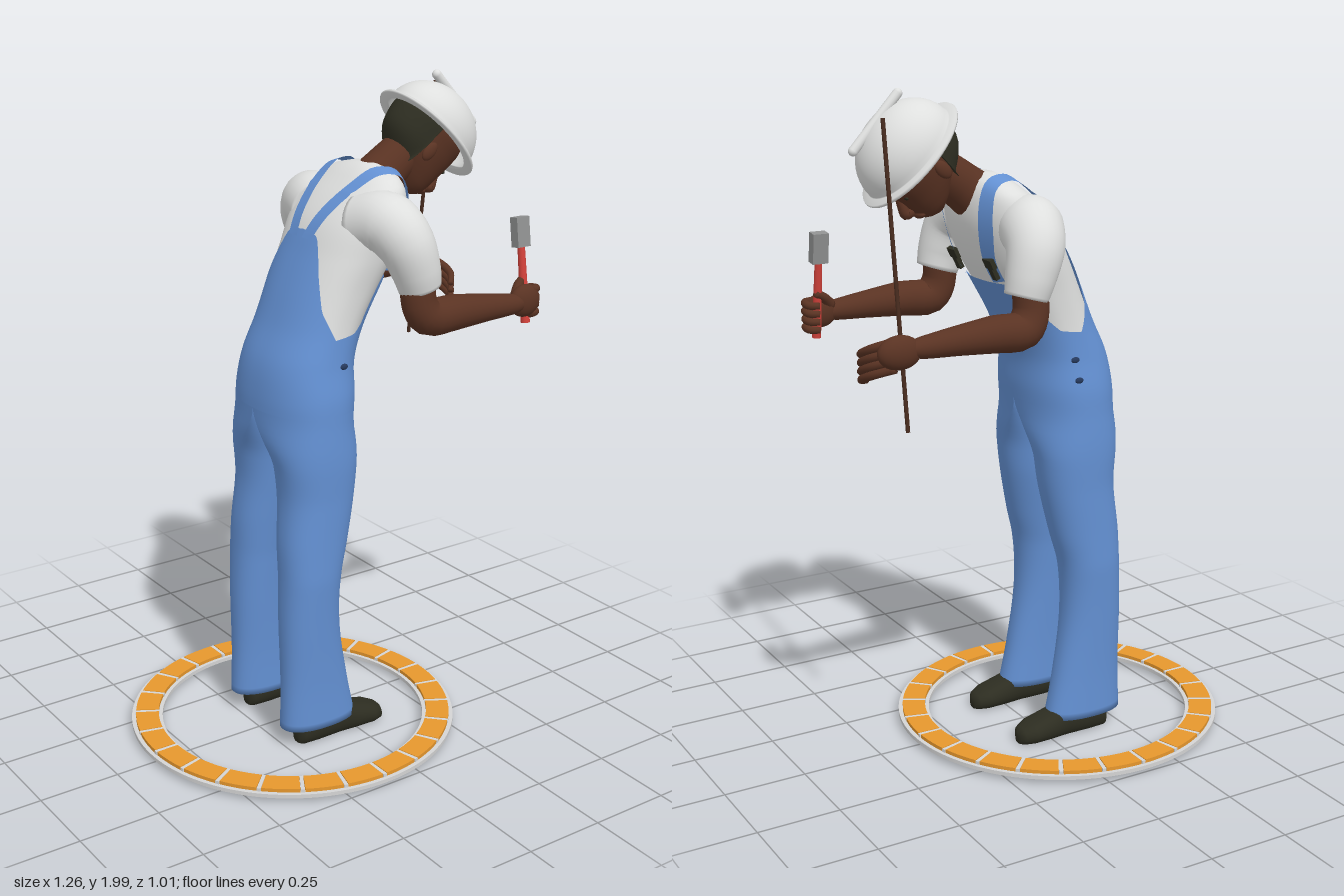
import * as THREE from 'three';

const V = (x, y, z) => new THREE.Vector3(x, y, z);
const lerp = THREE.MathUtils.lerp;

// Skin a list of equal-length rings, with optional end caps
function loft(rings, capStart = true, capEnd = true) {
  const n = rings[0].length, pos = [], idx = [];
  rings.forEach(r => r.forEach(p => pos.push(p.x, p.y, p.z)));
  for (let i = 0; i < rings.length - 1; i++) for (let j = 0; j < n; j++) {
    const a = i * n + j, b = i * n + (j + 1) % n;
    idx.push(a, a + n, b, b, a + n, b + n);
  }
  const cap = (row, flip) => {
    const c = rings[row].reduce((s, p) => s.add(p), V(0, 0, 0)).divideScalar(n);
    const k = pos.length / 3;
    pos.push(c.x, c.y, c.z);
    for (let j = 0; j < n; j++) {
      const a = row * n + j, b = row * n + (j + 1) % n;
      flip ? idx.push(k, b, a) : idx.push(k, a, b);
    }
  };
  if (capStart) cap(0, false);
  if (capEnd) cap(rings.length - 1, true);
  const g = new THREE.BufferGeometry();
  g.setAttribute('position', new THREE.Float32BufferAttribute(pos, 3));
  g.setIndex(idx);
  g.computeVertexNormals();
  return g;
}

// Rows [y, back x, front x, half width] -> smooth surface function (angle, y, offset, z centre)
function section(rows, power = 0.88) {
  const f = new THREE.CubicInterpolant(rows.map(r => r[0]), rows.flatMap(r => r.slice(1)), 3, new Float32Array(3));
  const e = v => Math.sign(v) * Math.abs(v) ** power;
  return (t, y, off = 0, zc = 0) => {
    const [b, fr, h] = f.evaluate(y);
    return V((b + fr) / 2 + ((fr - b) / 2 + off) * e(Math.cos(t)), y, zc + (h + off) * e(Math.sin(t)));
  };
}
const circle = (n, fn) => Array.from({ length: n }, (_, j) => fn(j / n * Math.PI * 2));
const steps = (n, fn) => Array.from({ length: n + 1 }, (_, i) => fn(i / n));

// Piecewise linear lookup in [key, value] pairs
function lookup(table, t) {
  const k = Math.max(1, table.findIndex(e => e[0] >= t - 1e-6));
  return THREE.MathUtils.mapLinear(t, table[k - 1][0], table[k][0], table[k - 1][1], table[k][1]);
}

// Tapered round limb through points [x, y, z, radius]
function limb(pts, ref, sides = 20, n = 24) {
  const curve = new THREE.CatmullRomCurve3(pts.map(p => V(p[0], p[1], p[2])));
  return loft(steps(n, t => {
    const c = curve.getPoint(t), T = curve.getTangent(t);
    const k = Math.min(Math.floor(t * (pts.length - 1)), pts.length - 2);
    const r = lerp(pts[k][3], pts[k + 1][3], t * (pts.length - 1) - k);
    const U = ref.clone().addScaledVector(T, -ref.dot(T)).normalize(), W = U.clone().cross(T);
    return circle(sides, a => c.clone().addScaledVector(U, r * Math.cos(a)).addScaledVector(W, r * Math.sin(a)));
  }));
}

// Flat ring sector lying in the ground plane
function sector(r0, r1, a0, a1, h) {
  const s = new THREE.Shape();
  s.absarc(0, 0, r1, a0, a1, false);
  s.absarc(0, 0, r0, a1, a0, true);
  return new THREE.ExtrudeGeometry(s, { depth: h, bevelEnabled: false, curveSegments: 8 }).rotateX(-Math.PI / 2);
}

export function createModel() {
  const root = new THREE.Group();
  const mat = (name, color, double) => {
    const m = new THREE.MeshStandardMaterial({ color, side: double ? THREE.DoubleSide : THREE.FrontSide });
    m.name = name;
    return m;
  };
  const blue = mat('denim blue', 0x6390d2, true), white = mat('white', 0xdedfde, true);
  const skin = mat('brown skin', 0x5a3323), dark = mat('dark olive', 0x2d2d21), navy = mat('navy', 0x26395c);
  const orange = mat('orange', 0xe6972d), pale = mat('pale grey', 0xd4d4d4), steel = mat('steel grey', 0x909191);
  const red = mat('red', 0xd2413a), wood = mat('dark wood', 0x472b1e);
  const add = (name, geo, m, parent = root) => {
    const mesh = new THREE.Mesh(geo, m);
    mesh.name = name;
    parent.add(mesh);
    return mesh;
  };
  const ball = (name, m, p, s, parent = root) => {
    const b = add(name, new THREE.SphereGeometry(1, 20, 14), m, parent);
    b.position.set(...p);
    b.scale.set(...s);
  };
  const X = V(1, 0, 0), Y = V(0, 1, 0), Z = V(0, 0, 1);

  // Ground ring: thin base, tiles and dividers
  const ground = new THREE.Group();
  ground.name = 'tiledRing';
  ground.position.x = -0.125;
  root.add(ground);
  const tiles = 24, step = Math.PI * 2 / tiles;
  for (let i = 0; i < tiles; i++) {
    const a = i * step;
    add('ringBase', sector(0.41, 0.506, a, a + step, 0.012), pale, ground).position.y = 0.013;
    add('ringTile', sector(0.422, 0.493, a + 0.015, a + step - 0.015, 0.011), orange, ground).position.y = 0.025;
    add('ringDivider', sector(0.42, 0.495, a - 0.012, a + 0.012, 0.01), pale, ground).position.y = 0.025;
  }

  // Leaning torso: shirt and overalls share one body surface
  const body = section([
    [1.0, -0.25, 0.02, 0.207], [1.1, -0.248, 0.03, 0.203], [1.2, -0.23, 0.035, 0.186],
    [1.3, -0.185, 0.07, 0.178], [1.4, -0.145, 0.125, 0.182], [1.5, -0.10, 0.18, 0.195], [1.6, -0.05, 0.212, 0.203],
    [1.66, 0.003, 0.213, 0.192], [1.7, 0.05, 0.203, 0.165], [1.728, 0.085, 0.185, 0.11], [1.742, 0.11, 0.16, 0.05]]);
  const shirtParts = [add('shirt', loft(steps(36, t => circle(56, a => body(a, lerp(1.18, 1.742, t))))), white)];
  for (const s of [1, -1]) {
    shirtParts.push(add('sleeve', limb([[0.055, 1.585, s * 0.1, 0.09], [0.085, 1.598, s * 0.19, 0.093],
      [0.105, 1.555, s * 0.245, 0.084], [0.13, 1.48, s * 0.264, 0.073], [0.147, 1.42, s * 0.266, 0.063]], X, 28), white));
  }

  // Overalls above the hip, with a curved top edge
  const edge = [[0, 1.43], [0.75, 1.43], [0.95, 1.36], [1.3, 1.29], [1.7, 1.28], [2.2, 1.36], [2.55, 1.46], [2.85, 1.56], [3.15, 1.57]];
  const hip = 1.06, ease = 0.007;
  const topOf = a => lookup(edge, a > Math.PI ? Math.PI * 2 - a : a);
  add('overallsBody', loft(steps(28, t => circle(96, a => body(a, lerp(hip, topOf(a), t), ease))), false, false), blue);

  // Find a point on the shirt, seen from the side around the chest centre
  const ray = new THREE.Raycaster();
  const onShirt = (deg, z, off) => {
    const a = THREE.MathUtils.degToRad(deg), d = V(Math.cos(a), Math.sin(a), 0), c = V(0.06, 1.5, z);
    ray.set(c.clone().addScaledVector(d, 1), d.clone().negate());
    return ray.intersectObjects(shirtParts)[0].point.clone().addScaledVector(d, off);
  };
  const strapZ = new THREE.CatmullRomCurve3([V(-38, 0.105, 0), V(5, 0.108, 0), V(55, 0.13, 0), V(85, 0.1, 0), V(120, 0.066, 0), V(162, 0.034, 0)]);

  const leg = section([
    [0.06, -0.255, 0.0, 0.067], [0.2, -0.25, -0.03, 0.067], [0.4, -0.25, -0.06, 0.075], [0.55, -0.245, -0.055, 0.084],
    [0.65, -0.243, -0.03, 0.09], [0.8, -0.23, 0.0, 0.101], [0.9, -0.238, 0.012, 0.108], [0.98, -0.25, 0.022, 0.112],
    [1.08, -0.25, 0.03, 0.11]]);
  const legZ = [[0.06, 0.143], [0.55, 0.137], [0.8, 0.116], [1.08, 0.105]];
  // Each leg blends into its half of the hip
  const legPoint = (a, y, s) => {
    const p = leg(a, y, 0, lookup(legZ, y)), h = body(a, y, ease);
    p.lerp(V(h.x, y, Math.max(0, h.z)), THREE.MathUtils.smoothstep(y, 0.88, hip));
    p.z = s * Math.max(0, p.z);
    return p;
  };
  const shoe = [[-0.205, 0.04, 0.02], [-0.195, 0.075, 0.04], [-0.14, 0.1, 0.047], [-0.06, 0.1, 0.045],
    [0.0, 0.078, 0.052], [0.06, 0.06, 0.053], [0.092, 0.046, 0.038], [0.103, 0.035, 0.018]];

  for (const s of [1, -1]) {
    // Shoulder strap, buckle and side buttons
    const rows = steps(44, t => {
      const p = strapZ.getPoint(t);
      return [-0.022, 0.022].map(w => onShirt(p.x, s * p.y + w, 0.012));
    });
    const g = new THREE.BufferGeometry(), idx = [];
    g.setAttribute('position', new THREE.Float32BufferAttribute(rows.flat().flatMap(p => p.toArray()), 3));
    for (let i = 0; i < rows.length - 1; i++) idx.push(2 * i, 2 * i + 2, 2 * i + 1, 2 * i + 1, 2 * i + 2, 2 * i + 3);
    g.setIndex(idx);
    g.computeVertexNormals();
    add('strap', g, blue);
    for (const [deg, w, h] of [[-3, 0.046, 0.03], [-18, 0.024, 0.045]]) {
      const buckle = add('buckle', new THREE.BoxGeometry(0.014, h, w), dark);
      buckle.position.copy(onShirt(deg, s * 0.107, 0.013));
      buckle.rotation.z = -0.45;
    }
    for (const y of s > 0 ? [1.2] : [1.2, 1.14]) {
      ball('sideButton', navy, body(s * 1.38, y, ease).toArray(), [0.014, 0.009, 0.006]);
    }

    // Trouser leg and shoe
    add('trouserLeg', loft(steps(48, t => {
      const ring = circle(48, a => legPoint(a, lerp(0.06, hip, t), s));
      return s > 0 ? ring : ring.reverse();
    }), true, false), blue);
    add('shoe', loft(shoe.map(([x, top, w]) => circle(24, a =>
      V(x, Math.max(0, top / 2 + top / 2 * 1.1 * Math.sin(a)), s * 0.145 + w * Math.sign(Math.cos(a)) * Math.abs(Math.cos(a)) ** 0.7)
    ))), dark);

    // Arm and palm
    add('arm', limb([[0.14, 1.46, s * 0.268, 0.05], [0.137, 1.38, s * 0.275, 0.052], [0.165, 1.335, s * 0.28, 0.056],
      [0.26, 1.333, s * 0.285, 0.053], [0.38, 1.328, s * 0.285, 0.041], [0.48, 1.322, s * 0.285, 0.031],
      [0.53, 1.32, s * 0.282, 0.02]], Z), skin);
    ball('palm', skin, s > 0 ? [0.53, 1.325, 0.282] : [0.548, 1.315, -0.28], s > 0 ? [0.055, 0.05, 0.03] : [0.065, 0.048, 0.034]);

    // Fingers and thumb
    for (let k = 0; k < 4; k++) {
      const y = (s > 0 ? 1.355 : 1.345) - 0.024 * k;
      add('finger', limb(s > 0
        ? [[0.55, y, 0.288, 0.013], [0.578, y, 0.278, 0.013], [0.578, y - 0.004, 0.247, 0.012], [0.55, y - 0.006, 0.235, 0.01]]
        : [[0.56, y, -0.28, 0.014], [0.608, y - 0.02, -0.24, 0.013], [0.615, y - 0.045, -0.18, 0.012], [0.577, y - 0.065, -0.128, 0.008]],
      Y, 10, 14), skin);
    }
    add('thumb', limb(s > 0
      ? [[0.5, 1.34, 0.275, 0.017], [0.53, 1.37, 0.255, 0.015], [0.56, 1.385, 0.24, 0.01]]
      : [[0.51, 1.33, -0.27, 0.018], [0.54, 1.325, -0.22, 0.014], [0.53, 1.3, -0.17, 0.01]], Y, 10, 12), skin);
  }

  // Neck, then head and helmet in a group tipped forward
  add('neck', limb([[0.12, 1.64, 0, 0.078], [0.21, 1.71, 0, 0.068], [0.3, 1.77, 0, 0.064]], Z), skin);
  const head = new THREE.Group();
  head.name = 'head';
  head.position.set(0.366, 1.802, 0);
  head.rotation.z = -0.83;
  root.add(head);
  const skull = section([[-0.172, 0.035, 0.075, 0.022], [-0.155, 0.0, 0.1, 0.045], [-0.12, -0.06, 0.113, 0.068],
    [-0.08, -0.115, 0.118, 0.084], [-0.03, -0.135, 0.124, 0.094], [0.03, -0.13, 0.12, 0.097], [0.08, -0.08, 0.08, 0.065]], 1);
  add('face', loft(steps(24, t => circle(40, a => skull(a, lerp(-0.172, 0.08, t))))), skin, head);
  add('hair', loft(steps(12, t => circle(40, a => {
    const p = skull(a, lerp(-0.125, 0.03, t), 0.007);
    p.x = Math.min(p.x, -0.035);
    return p;
  }))), dark, head);
  add('nose', limb([[0.112, -0.05, 0, 0.01], [0.126, -0.08, 0, 0.014], [0.132, -0.1, 0, 0.017], [0.115, -0.11, 0, 0.014]], Z, 12, 12), skin, head);
  ball('lips', skin, [0.104, -0.132, 0], [0.016, 0.012, 0.03], head);
  for (const s of [1, -1]) {
    ball('ear', skin, [-0.012, -0.065, s * 0.09], [0.02, 0.032, 0.012], head);
    ball('eye', dark, [0.107, -0.053, s * 0.037], [0.005, 0.006, 0.012], head);
  }

  // Hard hat: brim and dome in one profile, plus the crest bar
  const profile = [[0.132, -0.004], [0.157, -0.005], [0.159, 0], [0.157, 0.005], [0.139, 0.008]];
  for (let i = 0; i <= 14; i++) {
    const a = i / 14 * Math.PI / 2;
    profile.push([Math.max(0, 0.137 * Math.cos(a)), 0.01 + 0.137 * Math.sin(a)]);
  }
  add('helmet', new THREE.LatheGeometry(profile.map(p => new THREE.Vector2(...p)), 48).scale(1.17, 1, 1), white, head);
  const crest = add('helmetCrest', new THREE.CapsuleGeometry(0.014, 0.205, 6, 14), white, head);
  crest.rotation.z = Math.PI / 2;
  crest.position.y = 0.141;

  // Hammer
  const hammer = new THREE.Group();
  hammer.name = 'hammer';
  hammer.position.set(0.55, 1.25, 0.268);
  hammer.rotation.x = -0.14;
  root.add(hammer);
  add('hammerHandle', new THREE.CylinderGeometry(0.011, 0.014, 0.25, 14).translate(0, 0.125, 0), red, hammer);
  add('hammerHead', new THREE.BoxGeometry(0.048, 0.09, 0.032).translate(0, 0.275, 0), steel, hammer);

  // Long rod
  const a = V(0.527, 1.09, -0.28), b = V(0.527, 1.925, -0.165);
  const rod = add('rod', new THREE.CylinderGeometry(0.006, 0.006, a.distanceTo(b), 10), wood);
  rod.position.copy(a).lerp(b, 0.5);
  rod.quaternion.setFromUnitVectors(Y, b.clone().sub(a).normalize());
  return root;
}
